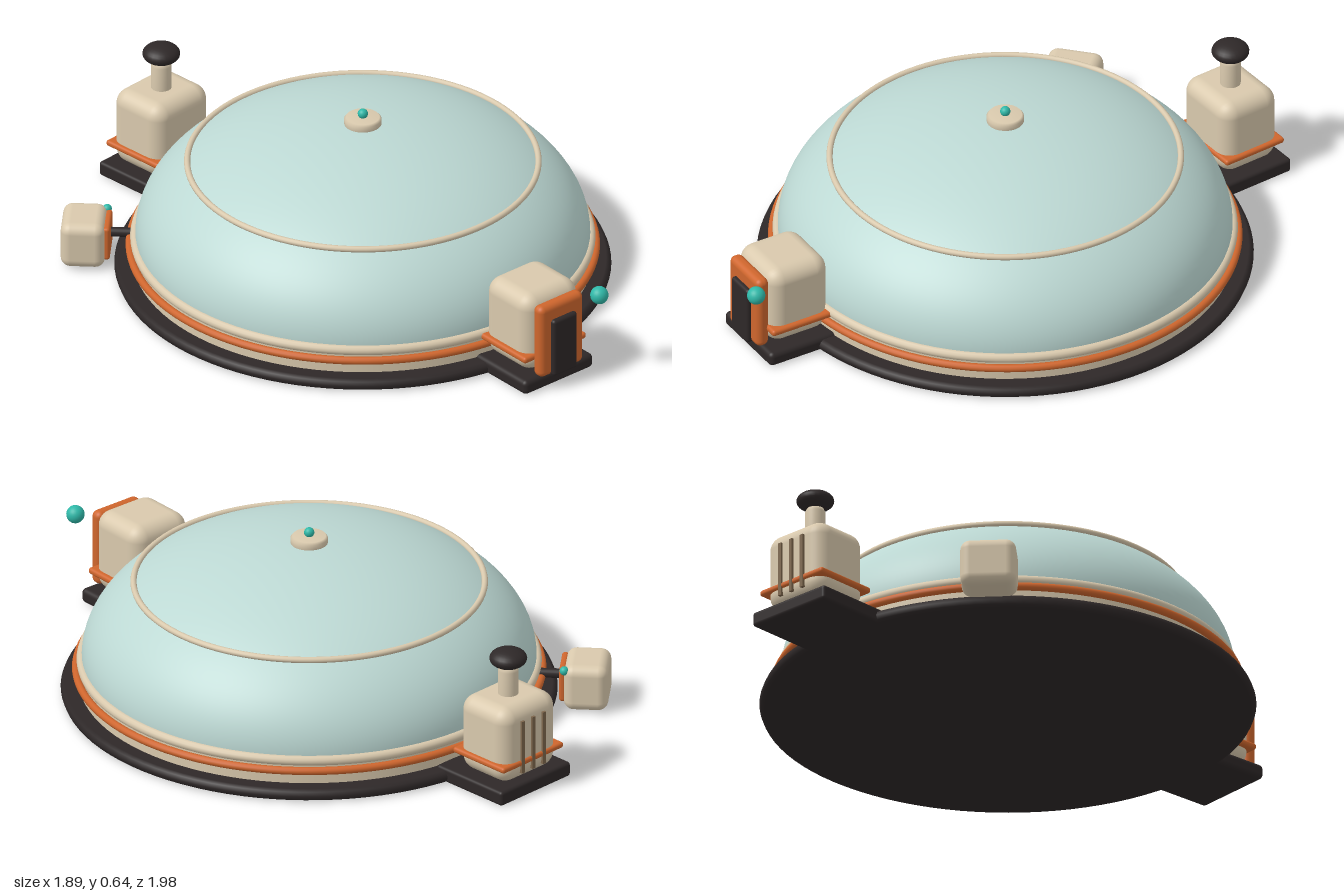
import * as THREE from 'three';
import { RoundedBoxGeometry } from 'three/addons/geometries/RoundedBoxGeometry.js';

const material = (name, color) => {
  const m = new THREE.MeshStandardMaterial({ color });
  m.name = name;
  return m;
};

export function createModel() {
  const sage = material('pale sage', 0xbcd8d3);
  const cream = material('cream', 0xd9c9ad);
  const dark = material('charcoal', 0x2e2828);
  const orange = material('burnt orange', 0xcf662d);
  const teal = material('teal', 0x2fb8a8);
  const brown = material('vent brown', 0x7d664c);

  const model = new THREE.Group();
  model.name = 'domeHabitat';
  const habitat = new THREE.Group();
  habitat.name = 'habitat';
  habitat.position.set(0.083, 0, 0.006);
  model.add(habitat);

  const add = (parent, name, geometry, mat, x = 0, y = 0, z = 0) => {
    const mesh = new THREE.Mesh(geometry, mat);
    mesh.name = name;
    mesh.position.set(x, y, z);
    parent.add(mesh);
    return mesh;
  };
  const box = (w, h, d, r) => new RoundedBoxGeometry(w, h, d, 4, r);
  const ball = (r) => new THREE.SphereGeometry(r, 24, 16);
  const lathe = (points, segments = 96) =>
    new THREE.LatheGeometry(points.map(([r, y]) => new THREE.Vector2(r, y)), segments);
  const ring = (parent, name, r, tube, y, mat) => {
    add(parent, name, new THREE.TorusGeometry(r, tube, 12, 112), mat, 0, y).rotation.x = Math.PI / 2;
  };
  // Group whose local +z points outward from the dome centre
  const module = (name, degrees) => {
    const g = new THREE.Group();
    g.name = name;
    g.rotation.y = THREE.MathUtils.degToRad(degrees);
    habitat.add(g);
    return g;
  };

  // Plinth and base wall
  add(habitat, 'plinth', lathe([[0, 0.004], [0.845, 0.004], [0.857, 0.011], [0.863, 0.026],
    [0.857, 0.041], [0.845, 0.048], [0, 0.048]]), dark);
  add(habitat, 'baseWall', new THREE.CylinderGeometry(0.8, 0.8, 0.1, 96), cream, 0, 0.09);
  ring(habitat, 'baseLip', 0.79, 0.018, 0.131, cream);
  ring(habitat, 'baseBand', 0.81, 0.014, 0.1, orange);

  // Dome shell with seam, cap and beacon
  const shell = new THREE.SphereGeometry(1, 96, 32, 0, Math.PI * 2, 0, Math.PI / 2);
  shell.scale(0.79, 0.44, 0.79);
  add(habitat, 'domeShell', shell, sage, 0, 0.145);
  ring(habitat, 'domeSeam', 0.61, 0.011, 0.431, cream);
  add(habitat, 'domeCap', lathe([[0, 0.575], [0.06, 0.575], [0.065, 0.582], [0.065, 0.602],
    [0.058, 0.61], [0, 0.61]], 40), cream);
  add(habitat, 'domeBeacon', ball(0.018), teal, 0, 0.622);

  // Airlock with framed door
  const airlock = module('airlock', 30);
  add(airlock, 'airlockPlinth', box(0.316, 0.054, 0.3, 0.018), dark, 0, 0.031, 0.895);
  add(airlock, 'airlockBody', box(0.25, 0.3, 0.24, 0.055), cream, 0, 0.21, 0.9);
  add(airlock, 'airlockBand', box(0.285, 0.024, 0.25, 0.011), orange, 0, 0.128, 0.9);
  add(airlock, 'doorFrame', box(0.2, 0.28, 0.05, 0.022), orange, 0, 0.196, 1.037);
  add(airlock, 'door', box(0.11, 0.222, 0.036, 0.012), dark, 0, 0.168, 1.061);
  add(airlock, 'doorLamp', ball(0.032), teal, 0.14, 0.32, 1.093);

  // Service module with chimney and vent slats
  const service = module('serviceModule', 180 + 35.3);
  add(service, 'servicePlinth', box(0.345, 0.054, 0.32, 0.012), dark, 0, 0.031, 0.947);
  add(service, 'serviceBody', box(0.27, 0.285, 0.235, 0.055), cream, 0, 0.198, 0.97);
  add(service, 'serviceBand', box(0.3, 0.022, 0.25, 0.01), orange, 0, 0.128, 0.97);
  add(service, 'chimney', lathe([[0.036, 0.325], [0.036, 0.43], [0.028, 0.448], [0, 0.448]], 32),
    cream, 0, 0, 0.97);
  const knob = ball(1);
  knob.scale(0.066, 0.035, 0.066);
  add(service, 'chimneyCap', knob, dark, 0, 0.475, 0.97);
  for (const x of [-0.052, 0, 0.052]) {
    add(service, 'ventSlat', new THREE.BoxGeometry(0.014, 0.2, 0.012), brown, x, 0.19, 1.09);
  }

  // Small side pod on a short coupling
  const pod = module('sidePod', 180 + 75);
  add(pod, 'podBody', box(0.195, 0.17, 0.155, 0.035), cream, 0, 0.095, 0.97);
  add(pod, 'podPlate', box(0.145, 0.125, 0.024, 0.01), orange, 0, 0.1, 0.888);
  add(pod, 'podCoupling', new THREE.CylinderGeometry(0.017, 0.017, 0.11, 20), dark, 0, 0.112, 0.837)
    .rotation.x = Math.PI / 2;
  add(pod, 'podLamp', ball(0.016), teal, -0.076, 0.16, 0.895);

  return model;
}
